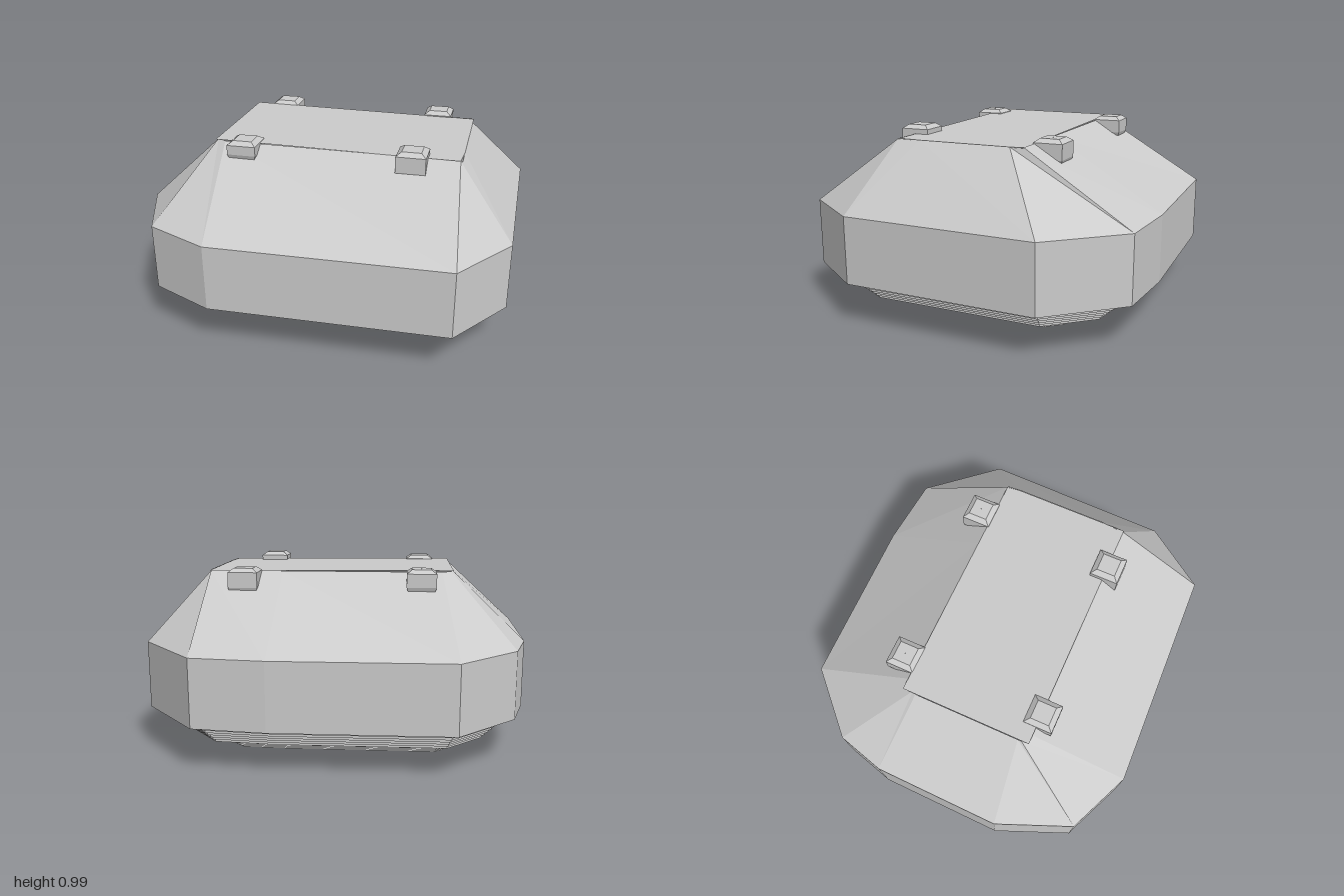
import * as THREE from 'three';

// Matching [x, z] outlines, in the same order around the model
const OUTER = [[-0.99, -0.33], [-0.92, -0.59], [-0.62, -0.89], [0.3, -0.905], [0.68, -0.87], [0.995, -0.51],
  [0.98, 0.53], [0.74, 0.87], [-0.5, 0.9], [-0.84, 0.75], [-1, 0.36]];
const TOP = [[-0.61, -0.25], [-0.6, -0.27], [-0.55, -0.32], [0.3, -0.32], [0.69, -0.32], [0.7, -0.25],
  [0.7, 0.25], [0.69, 0.38], [-0.56, 0.37], [-0.61, 0.34], [-0.61, 0.32]];
const BOTTOM = [[-0.57, -0.4], [-0.55, -0.43], [-0.52, -0.45], [0.25, -0.46], [0.5, -0.45], [0.56, -0.38],
  [0.56, 0.38], [0.5, 0.44], [-0.4, 0.46], [-0.53, 0.42], [-0.58, 0.3]];

const material = new THREE.MeshStandardMaterial({ color: 0xcccccc, flatShading: true, side: THREE.DoubleSide });

const ring = (outline, y) => outline.map(([x, z]) => [x, y, z]);
const blend = (a, b, t) => a.map(([x, z], i) => [x + (b[i][0] - x) * t, z + (b[i][1] - z) * t]);

// Faceted skin through a list of rings, given from bottom to top
function loft(name, rings) {
  const pos = [];
  for (let k = 0; k + 1 < rings.length; k++) {
    const lo = rings[k], hi = rings[k + 1], n = lo.length;
    for (let i = 0; i < n; i++) {
      const j = (i + 1) % n;
      pos.push(...lo[i], ...hi[i], ...hi[j], ...lo[i], ...hi[j], ...lo[j]);
    }
  }
  const geometry = new THREE.BufferGeometry();
  geometry.setAttribute('position', new THREE.Float32BufferAttribute(pos, 3));
  geometry.computeVertexNormals();
  const mesh = new THREE.Mesh(geometry, material);
  mesh.name = name;
  return mesh;
}

// Two flights of steps between the wall's lower edge and the open bottom
function steppedRings() {
  const rings = [ring(OUTER, 0.23)];
  const flights = [
    { t0: 0.16, t1: 0.43, y0: 0.23, y1: 0.105, steps: 7 },
    { t0: 0.63, t1: 0.96, y0: 0.105, y1: 0.0, steps: 7 },
  ];
  for (const { t0, t1, y0, y1, steps } of flights) {
    for (let s = 0; s < steps; s++) {
      const outline = blend(OUTER, BOTTOM, t0 + (t1 - t0) * s / (steps - 1));
      rings.push(ring(outline, y0 + (y1 - y0) * s / steps));
      rings.push(ring(outline, y0 + (y1 - y0) * (s + 1) / steps));
    }
  }
  rings.push(ring(BOTTOM, 0)); // narrow lip around the opening
  return rings.reverse();
}

// Small block with a bevelled top
function knob(x, z, bottom, top) {
  const square = (h) => [[-h, -h], [h, -h], [h, h], [-h, h]].map(([a, b]) => [x + a, z + b]);
  const mesh = loft('knob', [
    ring(square(0.001), bottom), ring(square(0.07), bottom), ring(square(0.077), bottom + 0.02),
    ring(square(0.077), top - 0.02), ring(square(0.05), top), ring(square(0.001), top),
  ]);
  return mesh;
}

export function createModel() {
  const model = new THREE.Group();

  // Open shell: stepped underside, upright wall, sloping roof
  model.add(loft('steppedBase', steppedRings()));
  model.add(loft('wall', [ring(OUTER, 0.23), ring(OUTER, 0.585)]));
  model.add(loft('roof', [ring(OUTER, 0.585), ring(TOP, 0.945)]));

  // Flat lid, a little wider than the roof opening at its corners
  const lid = new THREE.Mesh(new THREE.PlaneGeometry(1.31, 0.7).rotateX(-Math.PI / 2), material);
  lid.name = 'lid';
  lid.position.set(0.045, 0.948, 0.03);
  lid.rotation.z = -0.008;
  model.add(lid);

  // Four knobs along the lid's long edges
  const knobs = new THREE.Group();
  knobs.name = 'knobs';
  knobs.add(knob(-0.44, -0.39, 0.86, 0.97), knob(0.49, -0.39, 0.85, 0.97));
  knobs.add(knob(-0.44, 0.385, 0.885, 0.975), knob(0.45, 0.385, 0.865, 0.99));
  model.add(knobs);

  return model;
}
